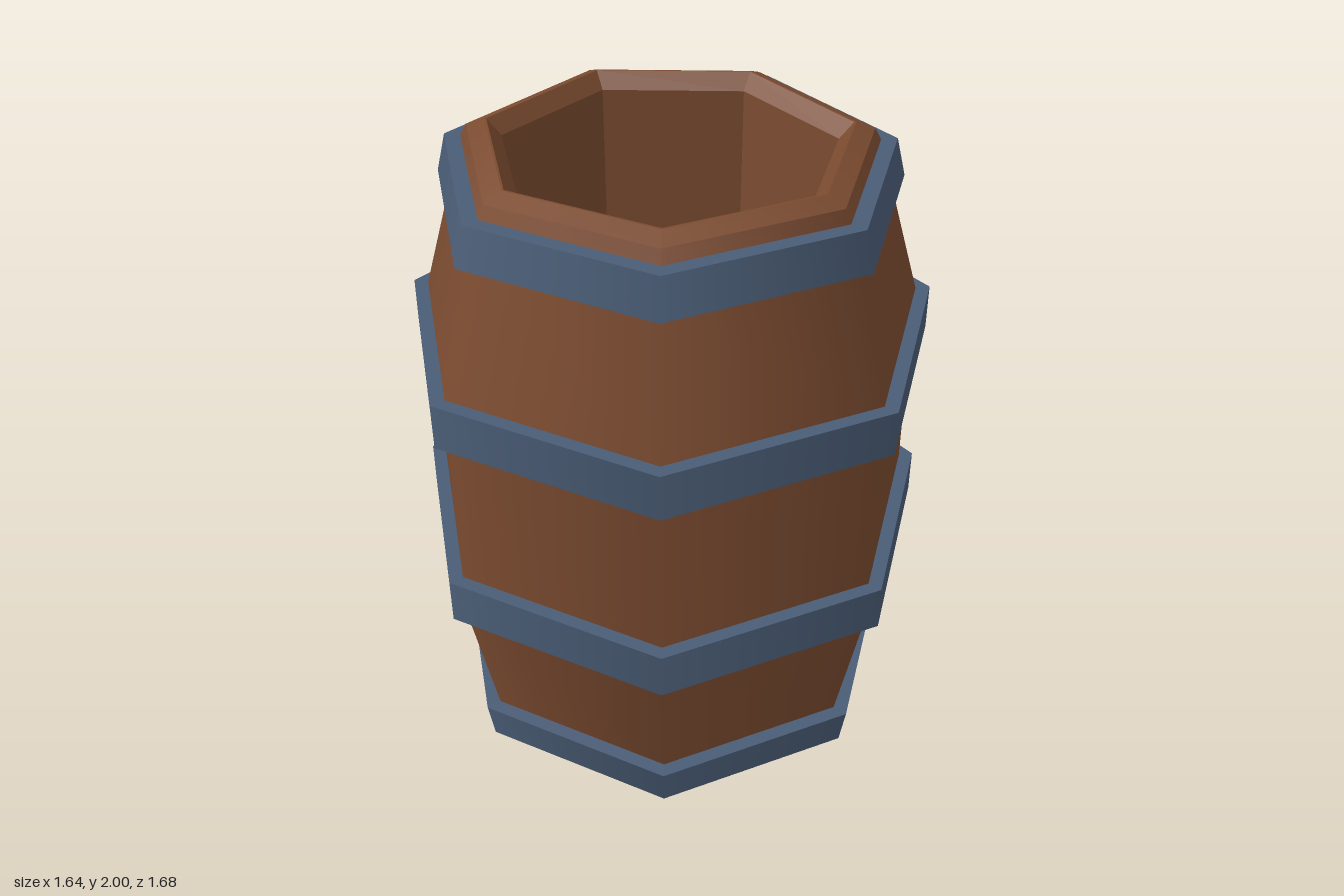
import * as THREE from 'three';
import { mergeGeometries } from 'three/addons/utils/BufferGeometryUtils.js';

const SIDES = 7;

// One crisp-edged band per pair of [radius, y] points, smooth or faceted around
function bands(profile, faceted = false) {
  const parts = [];
  for (let i = 0; i < profile.length - 1; i++) {
    const points = [profile[i], profile[i + 1]].map(([r, y]) => new THREE.Vector2(r, y));
    let g = new THREE.LatheGeometry(points, SIDES, Math.PI / 2);
    if (faceted) {
      g = g.toNonIndexed();
      g.computeVertexNormals();
    }
    parts.push(g);
  }
  return mergeGeometries(parts);
}

export function createModel() {
  const wood = new THREE.MeshStandardMaterial({ color: 0x7b4b30 });
  wood.name = 'brown wood';
  const iron = new THREE.MeshStandardMaterial({ color: 0x4a5d76 });
  iron.name = 'blue iron';

  const barrel = new THREE.Group();
  barrel.name = 'barrel';
  const add = (name, geometry, material) => {
    const mesh = new THREE.Mesh(geometry, material);
    mesh.name = name;
    barrel.add(mesh);
  };

  // Base, staves and the chamfered rim
  add('staves', bands([
    [0, 0], [0.703, 0], [0.723, 0.13], [0.815, 0.58], [0.815, 1.4],
    [0.694, 1.81], [0.657, 1.935], [0.636, 1.975], [0.575, 2], [0.568, 2],
  ]), wood);

  // Bevelled mouth, inner wall and floor
  add('interior', bands([
    [0.568, 2], [0.523, 1.95], [0.507, 0.13], [0, 0.13],
  ], true), wood);

  // Hoops: bottom y, top y, outer radii, then inner radii, each bottom and top
  const hoops = [
    ['bottomHoop', 0, 0.13, 0.752, 0.774, 0.703, 0.715],
    ['lowerHoop', 0.58, 0.73, 0.863, 0.863, 0.81, 0.81],
    ['upperHoop', 1.25, 1.4, 0.863, 0.863, 0.81, 0.81],
    ['topHoop', 1.81, 1.935, 0.742, 0.71, 0.685, 0.65],
  ];
  for (const [name, y0, y1, outer0, outer1, inner0, inner1] of hoops) {
    add(name, bands([[inner0, y0], [outer0, y0], [outer1, y1], [inner1, y1]]), iron);
  }

  // A seven-sided ring is wider on one side, so shift it to centre its extent
  barrel.children.forEach((mesh) => { mesh.position.x = -0.043; });
  return barrel;
}
